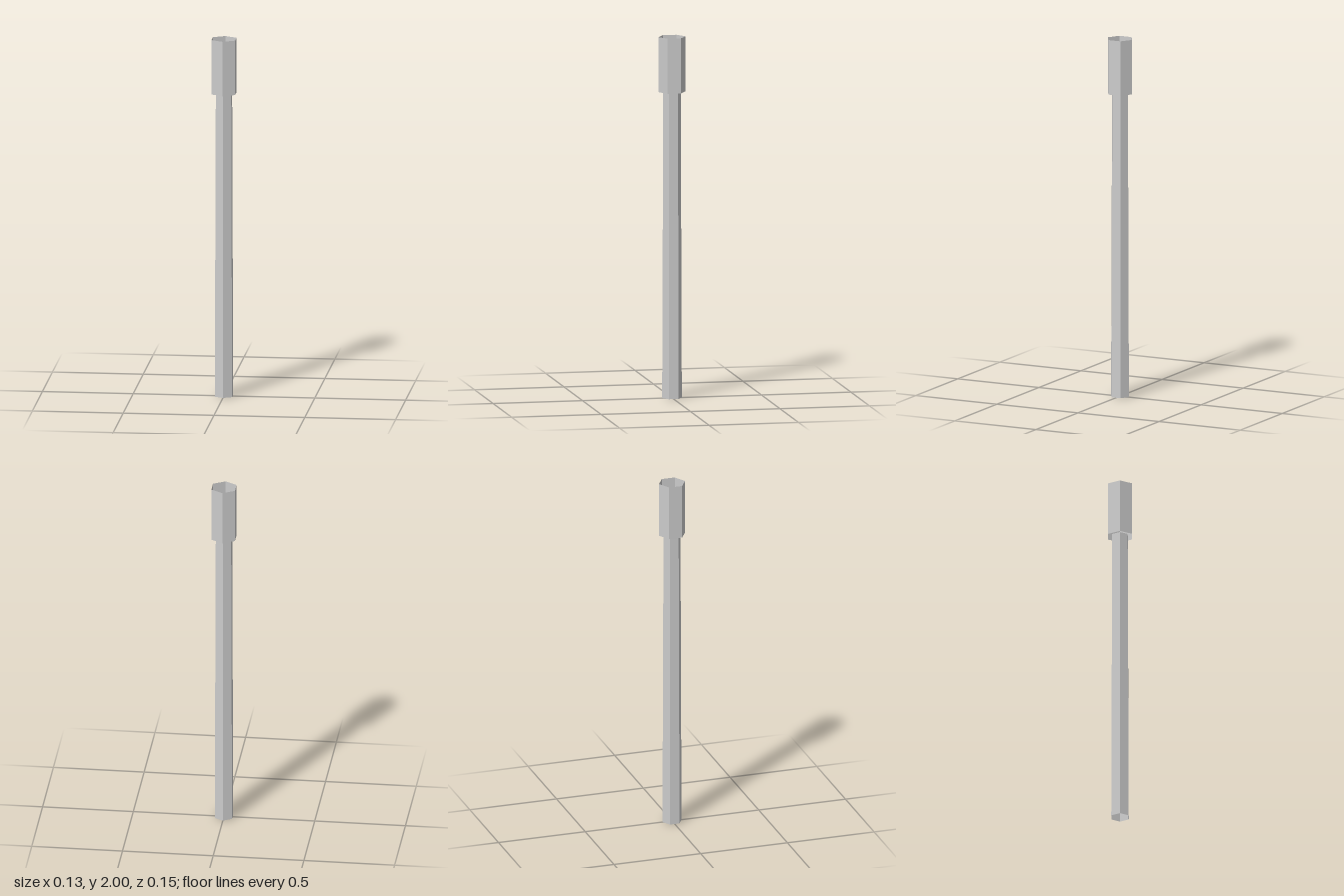
import * as THREE from 'three';

const material = new THREE.MeshStandardMaterial({
  color: 0xcccccc, flatShading: true, side: THREE.DoubleSide,
});

// Open six-sided tube with corners on the z axis
function hexTube(name, topRadius, bottomRadius, y0, y1) {
  const geometry = new THREE.CylinderGeometry(topRadius, bottomRadius, y1 - y0, 6, 1, true);
  const mesh = new THREE.Mesh(geometry, material);
  mesh.name = name;
  mesh.position.y = (y0 + y1) / 2;
  return mesh;
}

export function createModel() {
  const group = new THREE.Group();
  group.name = 'pole';
  // Long, slightly tapered shaft
  group.add(hexTube('shaft', 0.049, 0.055, 0, 1.7));
  // Wider open sleeve at the top
  group.add(hexTube('collar', 0.075, 0.075, 1.695, 2));
  return group;
}
